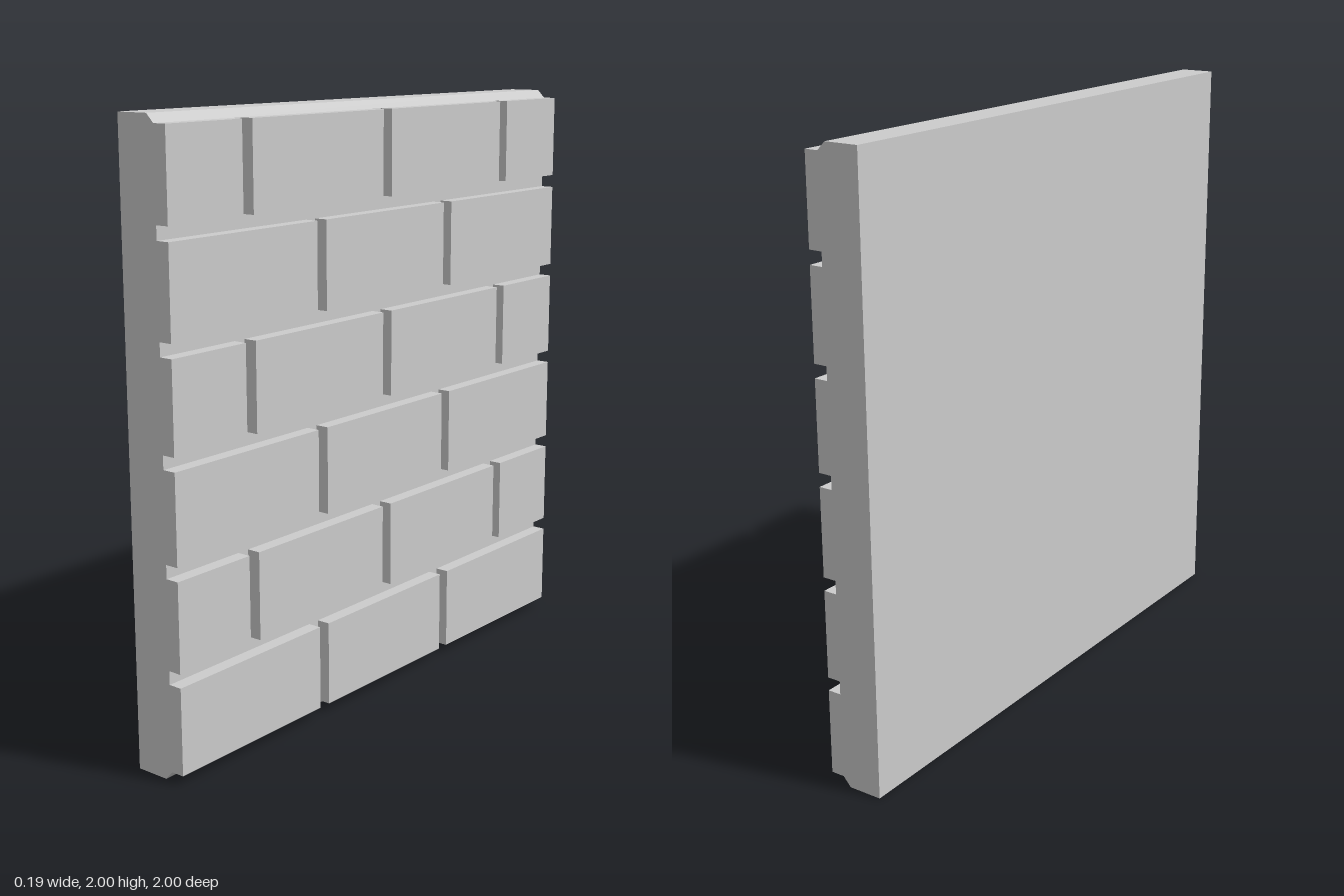
import * as THREE from 'three';

export function createModel() {
  const group = new THREE.Group();
  const material = new THREE.MeshStandardMaterial({ color: 0xcccccc, flatShading: true });
  const back = -0.094, slabFront = 0.048, brickFront = 0.094;
  const bottom = 0.03, top = 1.973;

  // Backing slab: chamfered cross-section extruded along z
  const profile = new THREE.Shape([
    [back, 0], [0.021, 0], [slabFront, bottom],
    [slabFront, top], [0.021, 2], [back, 2],
  ].map(([x, y]) => new THREE.Vector2(x, y)));
  const slabGeometry = new THREE.ExtrudeGeometry(profile, { depth: 2, bevelEnabled: false });
  slabGeometry.translate(0, 0, -1);
  const slab = new THREE.Mesh(slabGeometry, material);
  slab.name = 'backingSlab';
  group.add(slab);

  // Bricks: six courses in running bond, facing +x
  const bricks = new THREE.Group();
  bricks.name = 'bricks';
  const gap = 0.044, pitch = 1 / 3, embed = 0.005;
  for (let row = 0; row < 6; row++) {
    const y0 = Math.max(bottom, row * pitch + gap / 2 + 0.002);
    const y1 = Math.min(top, (row + 1) * pitch - gap / 2 + 0.002);
    const joints = row % 2 ? [-0.664, 0.002, 0.668] : [-0.332, 0.335];
    const edges = [-1 - gap / 2, ...joints, 1 + gap / 2];
    for (let i = 0; i < edges.length - 1; i++) {
      const z0 = edges[i] + gap / 2, z1 = edges[i + 1] - gap / 2;
      const depth = brickFront - slabFront + embed;
      const brick = new THREE.Mesh(new THREE.BoxGeometry(depth, y1 - y0, z1 - z0), material);
      brick.position.set(brickFront - depth / 2, (y0 + y1) / 2, (z0 + z1) / 2);
      brick.name = `brick${row + 1}_${i + 1}`;
      bricks.add(brick);
    }
  }
  group.add(bricks);
  return group;
}
